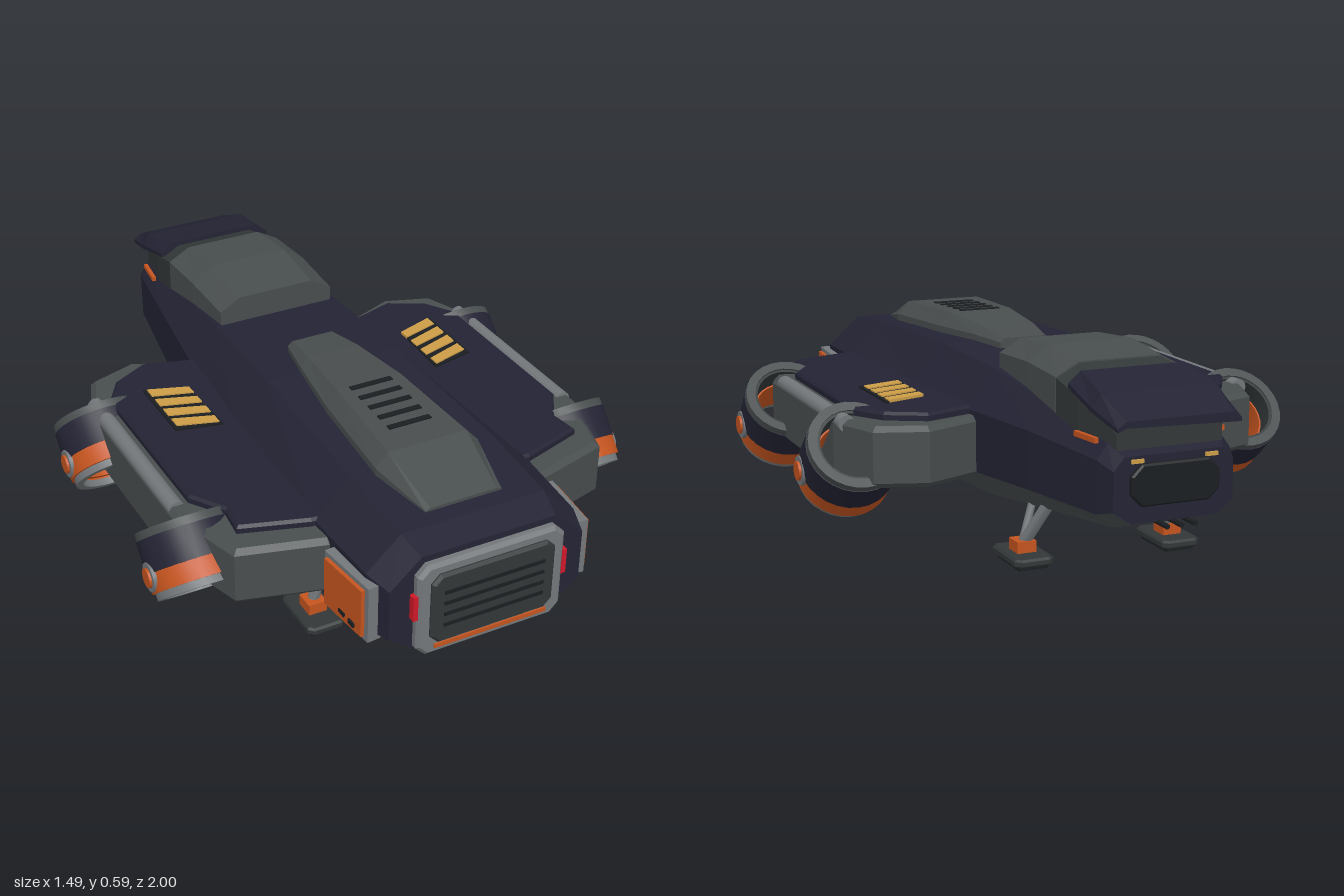
import * as THREE from 'three';
import { toCreasedNormals } from 'three/addons/utils/BufferGeometryUtils.js';

const colour = (name, color) => Object.assign(new THREE.MeshStandardMaterial({ color }), { name });

export function createModel() {
  const navy = colour('navy', 0x232334), grey = colour('grey', 0x484d4e), steel = colour('steel', 0x73777a);
  const charcoal = colour('charcoal', 0x323738), black = colour('black', 0x1b1e21), orange = colour('orange', 0xc4541f);
  const yellow = colour('yellow', 0xcc9d48), red = colour('red', 0xd01828);
  const model = new THREE.Group();
  model.name = 'dropship';

  function add(name, geo, mat, x = 0, y = 0, z = 0, parent = model) {
    const mesh = new THREE.Mesh(geo, mat);
    mesh.name = name;
    mesh.position.set(x, y, z);
    parent.add(mesh);
    return mesh;
  }
  const box = (w, h, d) => new THREE.BoxGeometry(w, h, d);

  // Eight-sided section: z, half widths (side, top, bottom), heights (bottom, side low, side high, top)
  const oct = ([z, hw, tw, bw, yb, yl, yh, yt]) =>
    [[bw, yb], [hw, yl], [hw, yh], [tw, yt], [-tw, yt], [-hw, yh], [-hw, yl], [-bw, yb]]
      .map(([x, y]) => new THREE.Vector3(x, y, z));

  // Flat-faced skin over sections running from +z to -z; edges in "under" take material 1
  function loft(rows, under = []) {
    const s = rows.map(oct), faces = [[], []];
    for (let i = 0; i < s.length - 1; i++) for (let j = 0; j < 8; j++) {
      const k = (j + 1) % 8, a = s[i], b = s[i + 1];
      faces[under.includes(j) ? 1 : 0].push(a[j], b[j], a[k], a[k], b[j], b[k]);
    }
    const a = s[0], b = s[s.length - 1];
    for (let j = 1; j < 7; j++) faces[0].push(a[0], a[j], a[j + 1], b[0], b[j + 1], b[j]);
    const geo = new THREE.BufferGeometry().setFromPoints([...faces[0], ...faces[1]]);
    geo.addGroup(0, faces[0].length, 0);
    geo.addGroup(faces[0].length, faces[1].length, 1);
    geo.computeVertexNormals();
    return geo;
  }

  const outline = (pts) => new THREE.Shape(pts.map(([x, y]) => new THREE.Vector2(x, y)));
  function extrude(pts, depth, bevel = 0) {
    return new THREE.ExtrudeGeometry(outline(pts), {
      depth: depth - 2 * bevel, bevelEnabled: bevel > 0, bevelSize: bevel, bevelThickness: bevel,
      bevelOffset: -bevel, bevelSegments: 1 }).translate(0, 0, bevel);
  }
  // Plan outline of [x, z] points standing between two heights
  const slab = (pts, s, y0, y1, bevel) =>
    extrude(pts.map(([x, z]) => [x * s, z]), y1 - y0, bevel).rotateX(Math.PI / 2).translate(0, y1, 0);
  // Rectangle with cut corners
  const cutRect = (w, h, c) => [[-w + c, -h], [w - c, -h], [w, -h + c], [w, h - c], [w - c, h], [-w + c, h], [-w, h - c], [-w, -h + c]];

  function rod(name, from, to, r, mat) {
    const a = new THREE.Vector3(...from), b = new THREE.Vector3(...to), d = b.clone().sub(a);
    const mesh = add(name, toCreasedNormals(new THREE.CylinderGeometry(r, r, d.length(), 12), 0.7), mat);
    mesh.position.copy(a).add(b).multiplyScalar(0.5);
    mesh.quaternion.setFromUnitVectors(new THREE.Vector3(0, 1, 0), d.normalize());
  }

  // Hull with grey underside
  add('hull', loft([
    [0.96, 0.29, 0.2, 0.2, 0.145, 0.21, 0.36, 0.44],
    [0.88, 0.315, 0.215, 0.22, 0.132, 0.2, 0.375, 0.465],
    [0.62, 0.33, 0.22, 0.23, 0.122, 0.2, 0.385, 0.485],
    [0.1, 0.315, 0.21, 0.23, 0.12, 0.2, 0.385, 0.502],
    [-0.27, 0.285, 0.2, 0.21, 0.13, 0.21, 0.385, 0.492],
    [-0.6, 0.24, 0.18, 0.18, 0.165, 0.225, 0.385, 0.455],
    [-0.9, 0.19, 0.16, 0.14, 0.19, 0.23, 0.37, 0.41],
    [-0.955, 0.17, 0.14, 0.12, 0.21, 0.245, 0.35, 0.385],
  ], [0, 6, 7]), [navy, grey]);

  // Spine fairing and its vents
  add('spineFairing', loft([
    [0.83, 0.115, 0.1, 0.115, 0.45, 0.46, 0.472, 0.478],
    [0.64, 0.157, 0.12, 0.157, 0.46, 0.485, 0.505, 0.545],
    [0.32, 0.135, 0.1, 0.135, 0.47, 0.495, 0.515, 0.556],
    [0.1, 0.105, 0.08, 0.105, 0.48, 0.5, 0.52, 0.545],
    [-0.03, 0.08, 0.065, 0.08, 0.48, 0.495, 0.515, 0.528],
  ]), grey);
  for (let i = 0; i < 5; i++) add('spineVent', box(0.13, 0.008, 0.018), black, 0, 0.555 - i * 0.0018, 0.328 + i * 0.0535);

  // Cockpit canopy, window and brow
  add('canopy', loft([
    [-0.27, 0.185, 0.12, 0.14, 0.46, 0.495, 0.535, 0.572],
    [-0.47, 0.19, 0.125, 0.14, 0.44, 0.475, 0.545, 0.588],
    [-0.65, 0.188, 0.12, 0.14, 0.4, 0.44, 0.535, 0.572],
  ]), grey);
  add('cockpitWindow', loft([
    [-0.65, 0.186, 0.118, 0.14, 0.4, 0.43, 0.532, 0.568],
    [-0.77, 0.18, 0.13, 0.14, 0.38, 0.41, 0.505, 0.535],
    [-0.93, 0.15, 0.12, 0.12, 0.36, 0.385, 0.44, 0.475],
  ]), charcoal);
  add('brow', loft([
    [-0.72, 0.185, 0.15, 0.15, 0.535, 0.52, 0.532, 0.562],
    [-0.87, 0.19, 0.165, 0.165, 0.51, 0.485, 0.498, 0.532],
    [-0.985, 0.175, 0.15, 0.15, 0.465, 0.455, 0.465, 0.482],
  ]), navy);

  // Nose panel, lamps and probes
  add('nosePanel', extrude(cutRect(0.125, 0.055, 0.03), 0.02, 0.005), black, 0, 0.31, -0.97);
  for (const x of [-0.04, 0, 0.04]) rod('probe', [x, 0.207, -0.93], [x, 0.207, -1], 0.007, black);

  // Stern frame and grille
  add('sternFrame', extrude(cutRect(0.22, 0.142, 0.03), 0.035, 0.01), steel, 0, 0.28, 0.95);
  add('sternTrim', box(0.34, 0.012, 0.02), orange, 0, 0.166, 0.98);
  add('sternGrille', extrude(cutRect(0.185, 0.108, 0.025), 0.035, 0.008), charcoal, 0, 0.285, 0.962);
  for (let i = 0; i < 4; i++) add('grilleSlot', box(0.3, 0.01, 0.006), black, 0, 0.235 + i * 0.034, 0.997);

  // Hollow tilted thruster with a pivot cap on its outer side
  function ring(rOut, rIn, y0, y1) {
    const p = [[rIn, y0], [rOut, y0], [rOut, y1], [rIn, y1], [rIn, y0]].map((q) => new THREE.Vector2(...q));
    return toCreasedNormals(new THREE.LatheGeometry(p, 28), 0.4);
  }
  function thruster(s, y, z, tilt) {
    const pod = new THREE.Group();
    pod.name = 'thruster';
    pod.position.set(s * 0.602, y, z);
    pod.rotation.x = -tilt;
    model.add(pod);
    const bands = [['mouthRim', steel, 0.127, 0.105, -0.095, -0.074], ['heatBand', orange, 0.135, 0.11, -0.074, -0.02],
      ['podShell', navy, 0.137, 0.115, -0.02, 0.072], ['podCollar', grey, 0.135, 0.108, 0.072, 0.095],
      ['podLiner', orange, 0.112, 0.095, -0.068, 0.03], ['upperLiner', charcoal, 0.116, 0.1, 0.03, 0.09]];
    for (const [name, mat, ro, ri, y0, y1] of bands) add(name, ring(ro, ri, y0, y1), mat, 0, 0, 0, pod);
    for (const [name, mat, r, x] of [['pivotRing', steel, 0.046, 0.12], ['pivotCap', orange, 0.03, 0.127]]) {
      const geo = toCreasedNormals(new THREE.CylinderGeometry(r * 0.9, r, 0.036, 20), 0.5).rotateZ(-s * Math.PI / 2);
      add(name, geo, mat, s * x, -0.028, 0, pod);
    }
  }

  for (const s of [1, -1]) {
    // Wing box and armour plate
    add('wingBox', slab([[0.2, 0.72], [0.33, 0.705], [0.57, 0.64], [0.605, 0.52], [0.645, 0.42], [0.645, -0.18],
      [0.585, -0.34], [0.44, -0.39], [0.2, -0.29]], s, 0.2, 0.372, 0.015), grey);
    add('wingPlate', slab([[0.2, 0.64], [0.34, 0.63], [0.53, 0.57], [0.52, 0.48], [0.585, 0.38], [0.585, -0.18],
      [0.53, -0.27], [0.42, -0.33], [0.2, -0.26]], s, 0.36, 0.395, 0.008), navy);
    add('markingPad', slab([[0.35, 0.1], [0.36, -0.11], [0.485, -0.17], [0.485, 0.07]], s, 0.392, 0.4), black);
    for (let i = 0; i < 4; i++) {
      const z = -0.165 + i * 0.06;
      add('wingStripe', slab([[0.358, z + 0.04], [0.475, z], [0.475, z + 0.04], [0.358, z + 0.075]], s, 0.396, 0.404), yellow);
    }
    rod('wingRail', [s * 0.618, 0.36, -0.22], [s * 0.618, 0.36, 0.38], 0.024, steel);

    // Thrusters
    thruster(s, 0.248, 0.44, 0.72);
    thruster(s, 0.245, -0.18, 0.84);

    // Side hatch and stern lamp
    add('hatchFrame', box(0.04, 0.17, 0.2), steel, s * 0.322, 0.277, 0.825).rotation.y = -s * 0.1;
    add('hatch', box(0.04, 0.145, 0.17), orange, s * 0.333, 0.277, 0.825).rotation.y = -s * 0.1;
    for (let i = 0; i < 3; i++) add('hatchSlot', box(0.006, 0.012, 0.028), black, s * 0.353, 0.228, 0.775 + i * 0.05);
    add('sternLamp', box(0.014, 0.075, 0.03), red, s * 0.224, 0.298, 0.965);

    // Nose side stripe and lamp
    add('noseStripe', box(0.012, 0.014, 0.1), orange, s * 0.186, 0.415, -0.83).rotation.y = s * 0.12;
    add('noseLamp', box(0.035, 0.01, 0.008), yellow, s * 0.105, 0.372, -0.958);

    // Landing legs
    for (const [x, z, lean] of [[0.295, 0.55, -0.05], [0.222, -0.515, -0.07]]) {
      add('foot', extrude(cutRect(0.057, 0.092, 0.015), 0.024, 0.006).rotateX(Math.PI / 2), charcoal, s * x, 0.034, z);
      add('footSole', box(0.085, 0.012, 0.15), black, s * x, 0.006, z);
      add('ankle', box(0.055, 0.032, 0.06), orange, s * x, 0.05, z);
      rod('leg', [s * x, 0.05, z], [s * (x - 0.055), 0.19, z + lean], 0.017, steel);
      rod('legBrace', [s * x, 0.06, z], [s * (x - 0.05), 0.19, z - lean * 0.4], 0.011, steel);
    }
  }
  return model;
}
